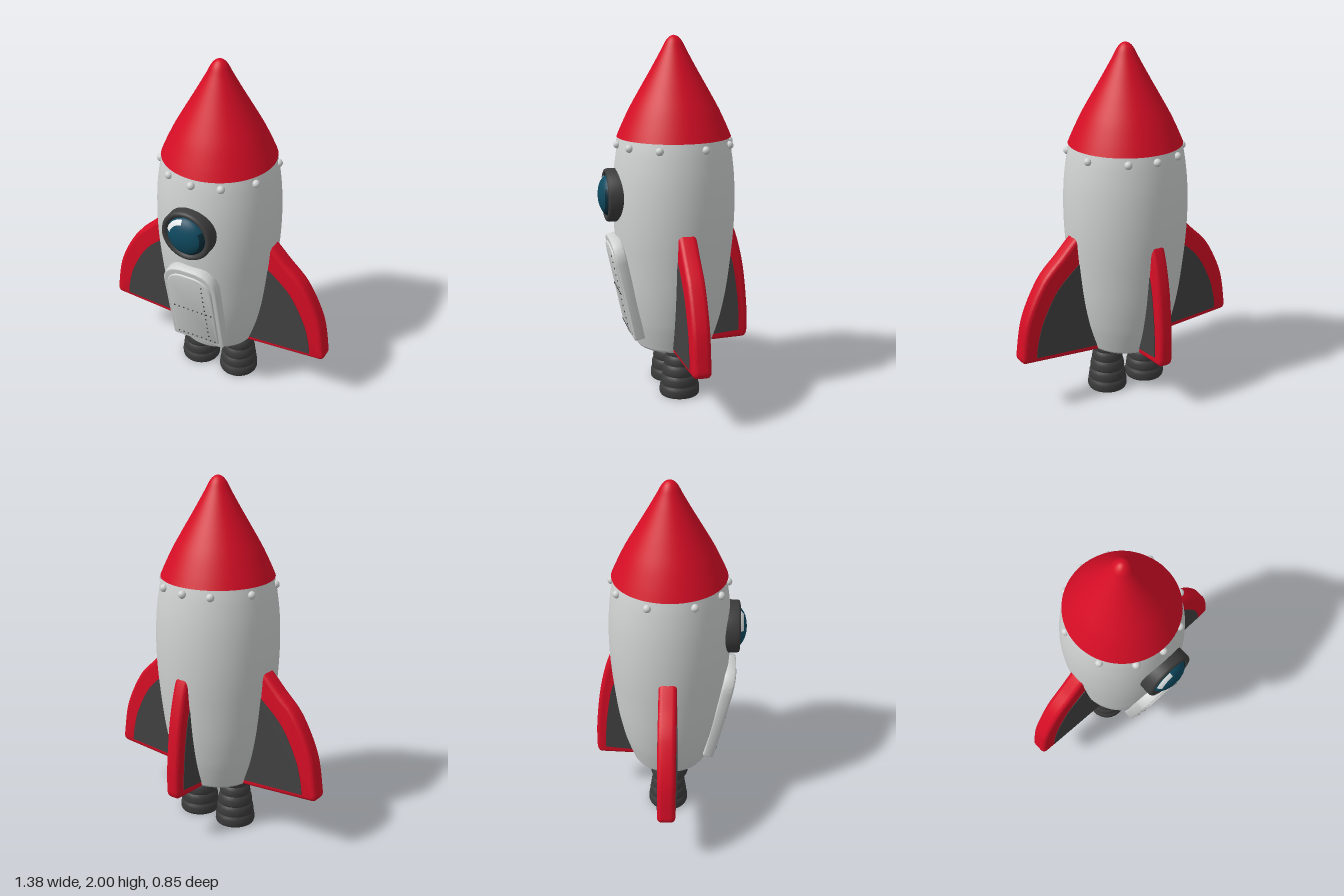
import * as THREE from 'three';
import { toCreasedNormals } from 'three/addons/utils/BufferGeometryUtils.js';

const material = (name, color, side = THREE.FrontSide) => {
  const m = new THREE.MeshStandardMaterial({ color, side });
  m.name = name;
  return m;
};
const V = (x, y) => new THREE.Vector2(x, y);

export function createModel() {
  const hullWhite = material('hull white', 0xd0d3d2);
  const red = material('red', 0xd60d25);
  const finGray = material('fin gray', 0x424242);
  const darkMetal = material('dark metal', 0x3c3c3c);
  const glassTeal = material('glass teal', 0x0f4a60);
  const glassDark = material('dark glass', 0x0a2c38);
  const glint = material('glint', 0xe4e8e8, THREE.DoubleSide);

  const rocket = new THREE.Group();
  rocket.name = 'rocket';

  function add(name, geometry, mat, parent = rocket) {
    const mesh = new THREE.Mesh(geometry, mat);
    mesh.name = name;
    parent.add(mesh);
    return mesh;
  }
  // Smooth lathe through a few profile points
  const smoothLathe = (pts, n = 48) =>
    new THREE.LatheGeometry(new THREE.SplineCurve(pts.map(p => V(...p))).getPoints(n), 64);
  // Slab centred on z = 0 with rounded edges that stay inside the outline
  function slab(shape, half, bevel) {
    const g = new THREE.ExtrudeGeometry(shape, {
      depth: 2 * (half - bevel), bevelEnabled: bevel > 0, bevelThickness: bevel,
      bevelSize: bevel, bevelOffset: -bevel, bevelSegments: 5, curveSegments: 24,
    });
    g.translate(0, 0, -(half - bevel));
    return toCreasedNormals(g, 0.7);
  }

  // Hull
  const hull = add('hull', smoothLathe([
    [0.222, 0.28], [0.25, 0.36], [0.276, 0.45], [0.306, 0.6], [0.331, 0.8],
    [0.344, 0.95], [0.348, 1.1], [0.342, 1.25], [0.326, 1.38], [0.31, 1.458],
  ]), hullWhite);
  hull.scale.z = 0.97;
  const base = add('hullBase', new THREE.LatheGeometry(
    [V(0, 0.265), V(0.2, 0.265), V(0.214, 0.269), V(0.222, 0.28)], 64), hullWhite);
  base.scale.z = 0.97;

  // Nose cone
  add('noseCone', smoothLathe([
    [0.314, 1.455], [0.286, 1.52], [0.243, 1.61], [0.19, 1.705], [0.13, 1.81],
    [0.072, 1.915], [0.045, 1.967], [0.022, 1.992], [0, 2],
  ]), red);
  const noseBase = add('noseBase', new THREE.CircleGeometry(0.314, 64), red);
  noseBase.rotation.x = Math.PI / 2;
  noseBase.position.y = 1.455;

  // Ring of rivets under the nose
  const rivetGeo = new THREE.SphereGeometry(0.022, 16, 12);
  for (const deg of [0, 29, 64, 110, 151, 180, 209, 250, 296, 331]) {
    const a = THREE.MathUtils.degToRad(deg);
    add('rivet', rivetGeo, hullWhite)
      .position.set(0.318 * Math.sin(a), 1.417, 0.314 * Math.cos(a));
  }

  // Fins: red rounded slab with a gray panel showing on both faces
  function fin(name, edge, panelEdge, half, angle) {
    const group = new THREE.Group();
    group.name = name;
    const outline = new THREE.Shape();
    outline.moveTo(0.13, 0.257);
    outline.lineTo(...edge[0]);
    outline.quadraticCurveTo(...edge[1], ...edge[2]);
    outline.splineThru(edge.slice(3).map(p => V(...p)));
    outline.lineTo(0.13, 0.93);
    add('finRim', slab(outline, half, 0.025), red, group);

    const panel = new THREE.Shape();
    panel.moveTo(0.17, 0.295);
    panel.lineTo(...panelEdge[0]);
    panel.splineThru(panelEdge.slice(1).map(p => V(...p)));
    panel.lineTo(0.17, 0.8);
    add('finPanel', slab(panel, half + 0.003, 0), finGray, group);
    group.rotation.y = angle;
    rocket.add(group);
  }
  const sideEdge = [[0.66, 0.297], [0.692, 0.299], [0.691, 0.335],
    [0.652, 0.55], [0.55, 0.755], [0.43, 0.88], [0.352, 0.96], [0.31, 0.992]];
  const sidePanel = [[0.605, 0.325], [0.595, 0.4], [0.56, 0.525], [0.47, 0.69],
    [0.35, 0.805], [0.27, 0.86]];
  fin('leftFin', sideEdge, sidePanel, 0.05, 0);
  fin('rightFin', sideEdge, sidePanel, 0.05, Math.PI);
  fin('backFin',
    [[0.4, 0.268], [0.424, 0.268], [0.428, 0.31],
      [0.425, 0.46], [0.402, 0.68], [0.368, 0.84], [0.332, 0.945], [0.3, 0.99]],
    [[0.375, 0.315], [0.373, 0.4], [0.36, 0.55], [0.33, 0.73], [0.28, 0.85]],
    0.043, Math.PI / 2);

  // Porthole: frame, domed glass and painted reflections
  const porthole = new THREE.Group();
  porthole.name = 'porthole';
  porthole.position.set(0, 1.138, 0.3);
  rocket.add(porthole);
  const frame = add('portholeFrame', new THREE.LatheGeometry([
    V(0.112, 0.07), V(0.112, 0), V(0.147, 0), V(0.147, 0.072), V(0.142, 0.083),
    V(0.132, 0.087), V(0.12, 0.082), V(0.112, 0.07)], 48), darkMetal, porthole);
  frame.geometry = toCreasedNormals(frame.geometry, 0.8);
  frame.rotation.x = Math.PI / 2;
  // Dome patches: theta runs outward from the front pole, phi goes round it
  function dome(name, r, phi, phiLen, theta, thetaLen, mat) {
    const g = new THREE.SphereGeometry(r, 32, 16, phi, phiLen, theta, thetaLen);
    g.rotateX(Math.PI / 2);
    g.scale(1, 1, 0.55);
    g.translate(0, 0, 0.062);
    add(name, g, mat, porthole);
  }
  dome('glass', 0.114, 0, Math.PI * 2, 0, Math.PI / 2, glassTeal);
  // Rotating the pole forward puts phi = 0 at -x and phi = 90 degrees at -y
  dome('glassShade', 0.1155, 1.75, 1.9, 0.95, 0.6, glassDark);
  dome('glassGlint', 0.1165, -1.45, 1.2, 0.8, 0.38, glint);

  // Hatch: arched plates leaning with the hull
  const hatch = new THREE.Group();
  hatch.name = 'hatch';
  hatch.position.set(0, 0.34, 0.225);
  hatch.rotation.x = 0.21;
  rocket.add(hatch);
  function arch(w, bottom, top, r) {
    const s = new THREE.Shape();
    s.moveTo(-w + 0.02, bottom);
    s.lineTo(w - 0.02, bottom);
    s.quadraticCurveTo(w, bottom, w, bottom + 0.02);
    s.lineTo(w, top - r);
    s.bezierCurveTo(w, top - r * 0.4, w - r * 0.4, top, w - r, top);
    s.lineTo(-w + r, top);
    s.bezierCurveTo(-w + r * 0.4, top, -w, top - r * 0.4, -w, top - r);
    s.lineTo(-w, bottom + 0.02);
    s.quadraticCurveTo(-w, bottom, -w + 0.02, bottom);
    return s;
  }
  add('hatchFrame', slab(arch(0.163, 0, 0.583, 0.13), 0.03, 0.008), hullWhite, hatch);
  add('hatchDoor', slab(arch(0.137, 0.03, 0.548, 0.11), 0.039, 0.006), hullWhite, hatch);

  // Small hatch studs
  const studGeo = new THREE.SphereGeometry(0.005, 8, 6);
  const stud = (x, y) => add('hatchStud', studGeo, darkMetal, hatch).position.set(x, y, 0.039);
  for (let i = 0; i < 12; i++) stud(0.08, 0.085 + i * 0.037);
  for (let i = 0; i < 9; i++) {
    stud(-0.115 + i * 0.029, 0.275);
    stud(-0.115 + i * 0.029, 0.05);
  }

  // Engine nozzles: hollow bells with bulging bands
  const bell = [V(0, 0.16), V(0.06, 0.16), V(0.092, 0.01), V(0.096, 0), V(0.108, 0)];
  const bands = [[0, 0.06, 0.113, 0.11], [0.06, 0.12, 0.107, 0.1],
    [0.12, 0.18, 0.099, 0.09], [0.18, 0.235, 0.088, 0.079], [0.235, 0.29, 0.078, 0.07]];
  for (const [y0, y1, r0, r1] of bands) {
    const h = y1 - y0;
    bell.push(V(r0 - 0.003, y0 + 0.003), V(r0, y0 + h * 0.2),
      V((r0 + r1) / 2 + 0.001, y0 + h * 0.65), V(r1, y0 + h * 0.9), V(r1 - 0.005, y1));
  }
  const bellGeo = toCreasedNormals(new THREE.LatheGeometry(bell, 40), 0.6);
  for (const side of [1, -1]) {
    add(side > 0 ? 'leftNozzle' : 'rightNozzle', bellGeo, darkMetal)
      .position.set(side * 0.128, 0, -0.005);
  }

  return rocket;
}
